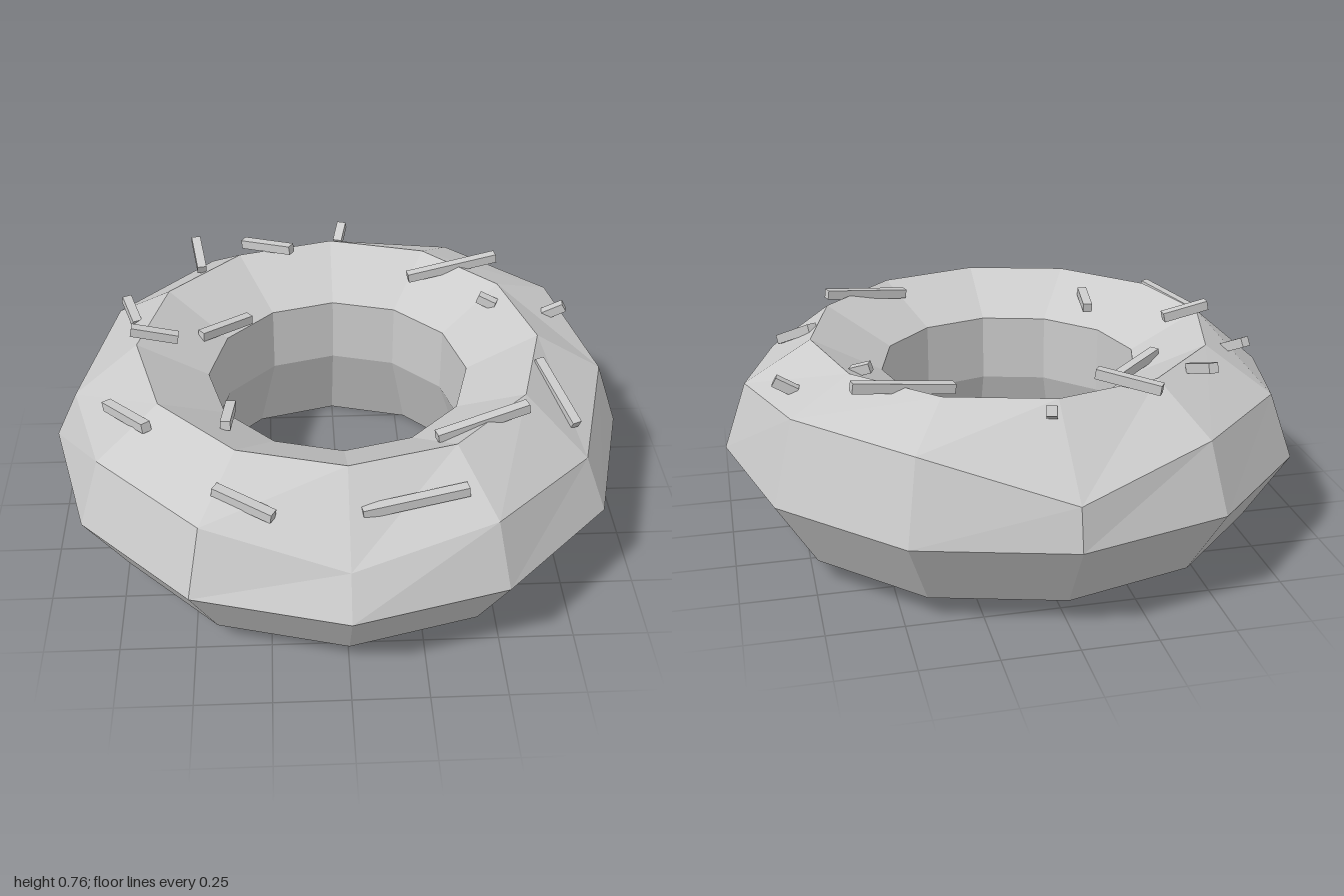
import * as THREE from 'three';

const SIDES = 12;
const material = new THREE.MeshStandardMaterial({ color: 0xcccccc, flatShading: true });

// Skin between successive rings; each ring gives [radius, height] at side j.
function ringSurface(name, rings) {
  const positions = [];
  const index = [];
  for (const ring of rings) {
    for (let j = 0; j < SIDES; j++) {
      const a = (j / SIDES) * Math.PI * 2;
      const [r, y] = ring(j);
      positions.push(r * Math.sin(a), y, r * Math.cos(a));
    }
  }
  for (let i = 0; i < rings.length - 1; i++) {
    for (let j = 0; j < SIDES; j++) {
      const k = (j + 1) % SIDES;
      const a = i * SIDES + j, b = i * SIDES + k;
      const c = b + SIDES, d = a + SIDES;
      index.push(a, b, c, a, c, d);
    }
  }
  const geometry = new THREE.BufferGeometry();
  geometry.setAttribute('position', new THREE.Float32BufferAttribute(positions, 3));
  geometry.setIndex(index);
  const flat = geometry.toNonIndexed();
  flat.computeVertexNormals();
  const mesh = new THREE.Mesh(flat, material);
  mesh.name = name;
  return mesh;
}

// Square bar between two end points.
function bar(from, to, thickness) {
  const start = new THREE.Vector3(...from);
  const end = new THREE.Vector3(...to);
  const mesh = new THREE.Mesh(
    new THREE.BoxGeometry(thickness, thickness, start.distanceTo(end)), material);
  mesh.position.copy(start).add(end).multiplyScalar(0.5);
  mesh.lookAt(end);
  mesh.name = 'sprinkle';
  return mesh;
}

export function createModel() {
  const model = new THREE.Group();
  model.name = 'ringDoughnut';

  // Uneven outer edge of the icing, starting at the front and turning to +x
  const edgeHeights = [0.47, 0.55, 0.52, 0.56, 0.61, 0.6, 0.47, 0.56, 0.55, 0.5, 0.56, 0.56];
  const icingEdge = (j) => [j === 6 ? 0.97 : 0.92, edgeHeights[j]];
  const level = (r, y) => () => [r, y];
  const innerEdge = level(0.45, 0.57);

  // Dough: inner wall, underside and outer wall
  model.add(ringSurface('dough', [
    innerEdge, level(0.45, 0.33), level(0.57, 0), level(0.85, 0.085), level(1, 0.33), icingEdge,
  ]));

  // Icing over the top
  model.add(ringSurface('icing', [icingEdge, level(0.69, 0.7), innerEdge]));

  // Scattered sprinkles
  const sprinkles = new THREE.Group();
  sprinkles.name = 'sprinkles';
  const ends = [
    [[0.05, 0.71, -0.8], [0.03, 0.67, -0.73]],
    [[-0.33, 0.7, -0.69], [-0.15, 0.73, -0.58]],
    [[-0.51, 0.74, -0.65], [-0.485, 0.69, -0.51]],
    [[0.28, 0.67, -0.46], [0.61, 0.72, -0.51]],
    [[0.52, 0.69, -0.275], [0.58, 0.67, -0.25]],
    [[0.76, 0.62, -0.26], [0.83, 0.66, -0.25]],
    [[-0.75, 0.69, -0.32], [-0.71, 0.64, -0.23]],
    [[-0.48, 0.62, -0.17], [-0.31, 0.6, -0.31]],
    [[-0.71, 0.735, -0.04], [-0.55, 0.7, -0.04]],
    [[-0.78, 0.61, 0.22], [-0.63, 0.67, 0.43]],
    [[-0.38, 0.66, 0.42], [-0.365, 0.64, 0.28]],
    [[0.67, 0.69, 0.14], [0.77, 0.58, 0.36]],
    [[0.29, 0.67, 0.52], [0.59, 0.715, 0.43]],
    [[-0.41, 0.63, 0.7], [-0.23, 0.6, 0.8]],
    [[0.04, 0.59, 0.78], [0.37, 0.62, 0.72]],
  ];
  for (const [from, to] of ends) sprinkles.add(bar(from, to, 0.033));
  model.add(sprinkles);

  return model;
}
